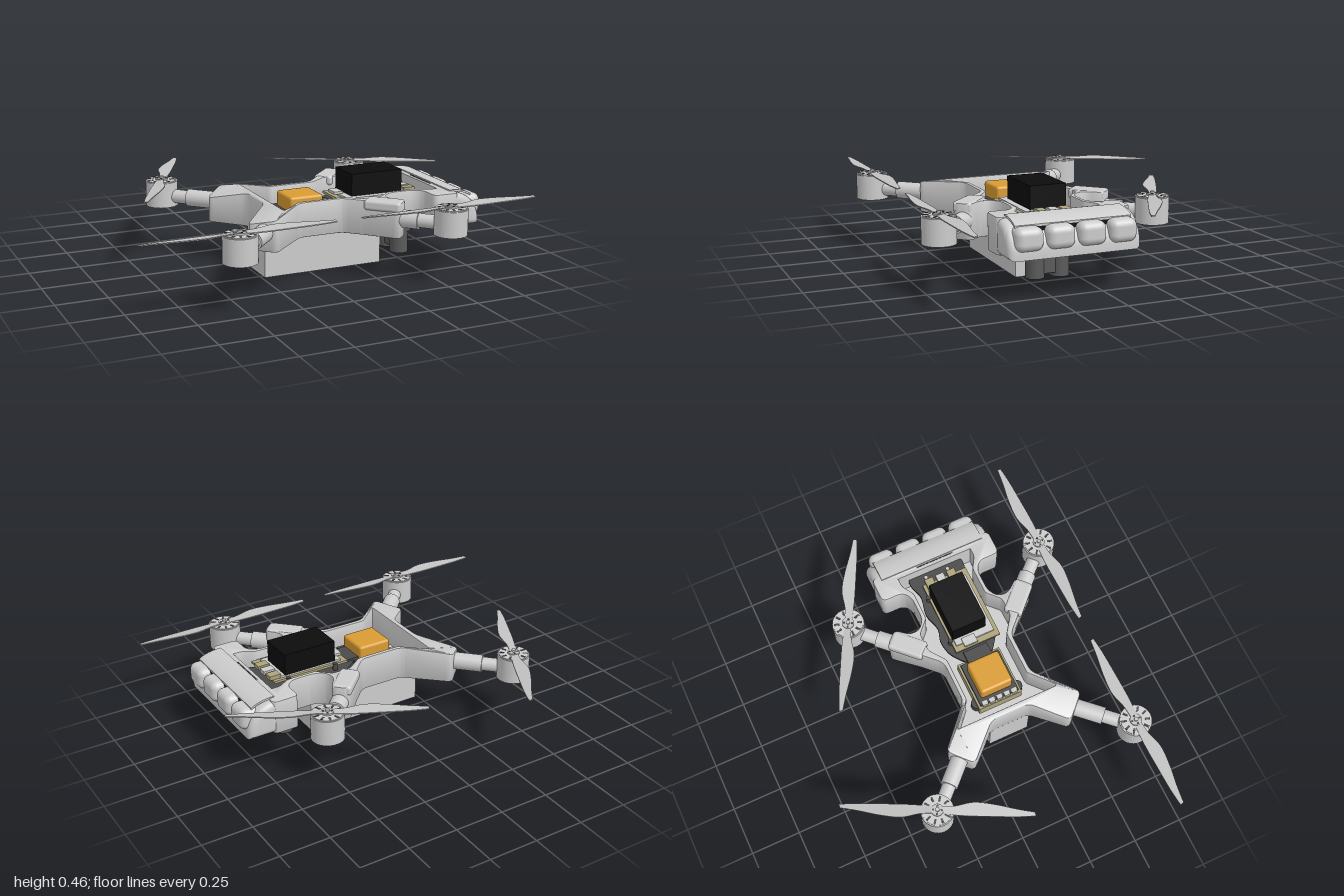
import * as THREE from 'three';
import { toCreasedNormals } from 'three/addons/utils/BufferGeometryUtils.js';
import { RoundedBoxGeometry } from 'three/addons/geometries/RoundedBoxGeometry.js';

const mat = (name, color) => Object.assign(new THREE.MeshStandardMaterial({ color }), { name });
const shell = mat('light grey shell', 0xcccccc);
const bladeGrey = mat('blade grey', 0xc2c2c2);
const dark = mat('dark grey', 0x4a4a4a);
const cameraGrey = mat('camera grey', 0x5a5a5a);
const black = mat('black', 0x0c0c0c);
const orange = mat('orange', 0xd99c34);
const beige = mat('beige board', 0xada37c);

function add(parent, name, geometry, material, x = 0, y = 0, z = 0) {
  const m = new THREE.Mesh(geometry, material);
  m.name = name;
  m.position.set(x, y, z);
  parent.add(m);
  return m;
}
const box = (p, name, material, x0, x1, y0, y1, z0, z1) =>
  add(p, name, new THREE.BoxGeometry(x1 - x0, y1 - y0, z1 - z0), material, (x0 + x1) / 2, (y0 + y1) / 2, (z0 + z1) / 2);
const cyl = (p, name, material, r, h, x, y, z) =>
  add(p, name, new THREE.CylinderGeometry(r, r, h, 32), material, x, y, z);

// Closed counter-clockwise outline from one half [x, side distance], mirrored, corners rounded
function roundedOutline(half, r, Type = THREE.Shape) {
  const pts = [...half.map(([x, d]) => [x, -d]), ...half.slice().reverse()].map(([x, d]) => new THREE.Vector2(x, d));
  const path = new Type();
  pts.forEach((p, i) => {
    const a = pts[(i + pts.length - 1) % pts.length], b = pts[(i + 1) % pts.length];
    const towards = (q) => p.clone().lerp(q, Math.min(r / p.distanceTo(q), 0.48));
    const s = towards(a), e = towards(b);
    if (i === 0) path.moveTo(s.x, s.y); else path.lineTo(s.x, s.y);
    path.quadraticCurveTo(p.x, p.y, e.x, e.y);
  });
  path.closePath();
  return path;
}

// Flat outline extruded between two heights
function slab(shape, y0, y1, bevel = 0) {
  const g = new THREE.ExtrudeGeometry(shape, {
    depth: y1 - y0 - 2 * bevel, curveSegments: 6, bevelEnabled: bevel > 0,
    bevelSize: bevel, bevelThickness: bevel, bevelOffset: -bevel, bevelSegments: 2,
  });
  return g.rotateX(Math.PI / 2).translate(0, y1 - bevel, 0);
}

// Rear arm sockets slope down towards their tips
function slopeRear(g) {
  const p = g.attributes.position;
  for (let i = 0; i < p.count; i++) {
    if (p.getY(i) > 0.3) p.setY(i, p.getY(i) - 0.3 * Math.max(0, -0.22 - p.getX(i)));
  }
  g.computeVertexNormals();
  return toCreasedNormals(g, 0.6);
}

function buildBody(g) {
  const outer = [[-0.235, 0.1], [-0.385, 0.26], [-0.28, 0.365], [-0.085, 0.185], [0.135, 0.185],
    [0.215, 0.265], [0.335, 0.4], [0.4, 0.335], [0.345, 0.27], [0.35, 0.215], [0.4, 0.183],
    [0.52, 0.183], [0.565, 0.215], [0.565, 0.325], [0.7, 0.325]];
  const inner = [[-0.205, 0.27], [-0.085, 0.163], [0.145, 0.163], [0.23, 0.225], [0.325, 0.225],
    [0.39, 0.163], [0.54, 0.163], [0.6, 0.2], [0.655, 0.2]];
  const walls = roundedOutline(outer, 0.03);
  walls.holes.push(roundedOutline(inner, 0.015, THREE.Path));
  add(g, 'body walls', slopeRear(slab(walls, 0.2, 0.372, 0.006)), shell);
  add(g, 'body floor', slab(roundedOutline(inner.map(([x, d]) => [x, d + 0.006]), 0.015), 0.201, 0.225), shell);

  // Curved front bumper with an overhanging cover
  const v = (x, y) => new THREE.Vector2(x, y);
  const along = (pts, width, bevel) => toCreasedNormals(new THREE.ExtrudeGeometry(new THREE.Shape(pts), {
    depth: width - 2 * bevel, bevelEnabled: bevel > 0, bevelSize: bevel, bevelThickness: bevel, bevelOffset: -bevel, bevelSegments: 4,
  }).translate(0, 0, -width / 2 + bevel), 0.6);
  const curve = new THREE.QuadraticBezierCurve(v(0.825, 0.24), v(0.8, 0.365), v(0.66, 0.372)).getPoints(12);
  add(g, 'front bumper', along([v(0.645, 0.2), v(0.825, 0.2), ...curve, v(0.645, 0.372)], 0.64, 0.03), shell);
  const top = new THREE.QuadraticBezierCurve(v(0.792, 0.35), v(0.75, 0.377), v(0.672, 0.378)).getPoints(10);
  add(g, 'bumper cover', along([...top.slice().reverse().map((p) => v(p.x, p.y - 0.01)), ...top], 0.56, 0), shell);
  box(g, 'bumper slot', dark, 0.661, 0.667, 0.368, 0.374, -0.09, 0.11);

  // Dark recess under the cover and four sensor pods before it
  box(g, 'bumper recess', black, 0.7, 0.788, 0.308, 0.342, -0.25, 0.25);
  for (const z of [-0.225, -0.075, 0.075, 0.225]) {
    add(g, 'sensor pod', new RoundedBoxGeometry(0.11, 0.108, 0.132, 4, 0.035), shell, 0.795, 0.292, z);
  }

  box(g, 'battery', shell, -0.235, 0.385, 0, 0.205, -0.103, 0.111);
}

function buildElectronics(g) {
  // Dark deck with lobed edges
  const deck = [[0.11, 0.07], [0.19, 0.13], [0.27, 0.145], [0.34, 0.12], [0.43, 0.15], [0.54, 0.125], [0.6, 0.15], [0.652, 0.15]];
  add(g, 'deck plate', slab(roundedOutline(deck, 0.03), 0.29, 0.305), dark);
  for (const x of [0.24, 0.5]) for (const z of [-0.1, 0.1]) cyl(g, 'deck post', dark, 0.012, 0.12, x, 0.28, z);

  // Flight controller with its orange cover
  for (const z of [-0.108, 0.108]) cyl(g, 'controller foot', dark, 0.03, 0.04, -0.09, 0.245, z);
  box(g, 'controller tray', beige, -0.135, 0.125, 0.225, 0.285, -0.115, 0.115);
  box(g, 'controller base', dark, -0.122, 0.112, 0.285, 0.3, -0.104, 0.104);
  add(g, 'controller cover', new RoundedBoxGeometry(0.175, 0.1, 0.17, 3, 0.014), orange, -0.002, 0.323, 0);
  for (let i = 0; i < 5; i++) {
    box(g, 'rear connector', shell, -0.13, -0.108, 0.285, 0.305, -0.094 + i * 0.04, -0.066 + i * 0.04);
  }
  box(g, 'front connector', dark, 0.085, 0.165, 0.285, 0.315, -0.065, 0.065);

  // Computer board with black heat sink
  box(g, 'carrier board', beige, 0.17, 0.575, 0.325, 0.337, -0.1, 0.142);
  box(g, 'computer board', shell, 0.2, 0.535, 0.337, 0.347, -0.085, 0.122);
  box(g, 'heat sink', black, 0.235, 0.51, 0.347, 0.457, -0.09, 0.09);
  box(g, 'rear socket', shell, 0.175, 0.222, 0.345, 0.358, -0.05, 0.02);
  for (const z of [-0.06, 0.0, 0.06]) box(g, 'port', z ? beige : shell, 0.53, 0.59, 0.337, 0.358, z - 0.022, z + 0.022);
  for (const z of [-0.06, 0.06]) cyl(g, 'deck button', shell, 0.01, 0.01, 0.62, 0.308, z);
}

function buildCamera(g) {
  box(g, 'camera mount', cameraGrey, 0.475, 0.555, 0.14, 0.202, -0.1, 0.114);
  box(g, 'camera bridge', cameraGrey, 0.485, 0.545, 0.05, 0.15, -0.053, 0.067);
  box(g, 'camera clip', beige, 0.55, 0.56, 0.165, 0.185, -0.018, 0.032);
  for (const s of [-1, 1]) {
    cyl(g, 'camera barrel', cameraGrey, 0.045, 0.125, 0.515, 0.0925, s * 0.062 + 0.007);
    cyl(g, 'camera lens', black, 0.03, 0.006, 0.515, 0.029, s * 0.062 + 0.007);
  }
}

// One blade swept out along +x, slightly pitched
function bladeGeometry() {
  const s = new THREE.Shape();
  s.moveTo(0, -0.016);
  s.splineThru([[0.08, -0.022], [0.17, -0.044], [0.27, -0.038], [0.38, -0.02], [0.463, -0.01]].map((p) => new THREE.Vector2(...p)));
  s.lineTo(0.466, 0.008);
  s.splineThru([[0.38, 0.016], [0.25, 0.02], [0.12, 0.022], [0, 0.016]].map((p) => new THREE.Vector2(...p)));
  const g = slab(s, 0, 0.005);
  const p = g.attributes.position;
  for (let i = 0; i < p.count; i++) p.setY(i, p.getY(i) - 0.12 * p.getZ(i));
  g.computeVertexNormals();
  return g;
}

function buildArm(g, sx, sz, turn, blade) {
  const arm = new THREE.Group();
  arm.name = (sx > 0 ? 'front' : 'rear') + (sz > 0 ? 'NearArm' : 'FarArm');
  const mx = sx * 0.53, mz = sz > 0 ? 0.533 : -0.527;
  // Tubes between the body socket and the motor
  const tube = (name, r, from, to) => {
    const a = new THREE.Vector3(sx * 0.295, 0.29, sz * 0.285), b = new THREE.Vector3(mx, 0.29, mz);
    const p = a.clone().lerp(b, from), q = a.clone().lerp(b, to);
    const m = cyl(arm, name, shell, r, p.distanceTo(q), 0, 0, 0);
    m.position.copy(p).lerp(q, 0.5);
    m.quaternion.setFromUnitVectors(new THREE.Vector3(0, 1, 0), q.sub(p).normalize());
  };
  tube('arm tube', 0.034, 0, 0.95);
  tube('arm collar', 0.043, 0.1, 0.55);
  if (sx > 0) {
    // Clamp cover on top of the front sockets
    const clamp = add(arm, 'socket cover', new RoundedBoxGeometry(0.18, 0.05, 0.095, 3, 0.015), shell, 0.3, 0.352, sz * 0.305);
    clamp.rotation.y = -sz * Math.PI / 4;
  }
  cyl(arm, 'motor', shell, 0.08, 0.125, mx, 0.3025, mz);
  cyl(arm, 'motor rim', shell, 0.074, 0.006, mx, 0.367, mz);
  // Cooling slots around the motor top
  for (let i = 0; i < 10; i++) {
    const a = (i / 10) * Math.PI * 2;
    const slot = box(arm, 'motor slot', dark, -0.013, 0.013, 0.3675, 0.3715, -0.005, 0.005);
    slot.position.x = mx + Math.cos(a) * 0.057;
    slot.position.z = mz + Math.sin(a) * 0.057;
    slot.rotation.y = -a;
  }
  const rotor = new THREE.Group();
  rotor.name = 'propeller';
  rotor.position.set(mx, 0.37, mz);
  rotor.rotation.y = turn;
  for (const r of [0, Math.PI]) add(rotor, 'blade', blade, bladeGrey).rotation.y = r;
  cyl(rotor, 'hub', bladeGrey, 0.03, 0.008, 0, 0.004, 0);
  cyl(rotor, 'shaft', shell, 0.01, 0.02, 0, 0.008, 0);
  for (const a of [0, 1, 2, 3]) cyl(rotor, 'hub screw', dark, 0.005, 0.004, Math.cos(a * 1.571) * 0.02, 0.0085, Math.sin(a * 1.571) * 0.02);
  arm.add(rotor);
  g.add(arm);
}

export function createModel() {
  const model = new THREE.Group();
  model.name = 'quadcopter';
  const g = new THREE.Group();
  g.name = 'airframe';
  g.position.z = 0.165;
  model.add(g);
  buildBody(g);
  buildElectronics(g);
  buildCamera(g);
  const blade = bladeGeometry();
  buildArm(g, -1, -1, 1.087, blade);
  buildArm(g, 1, -1, -0.486, blade);
  buildArm(g, -1, 1, 0, blade);
  buildArm(g, 1, 1, 0, blade);
  return model;
}
